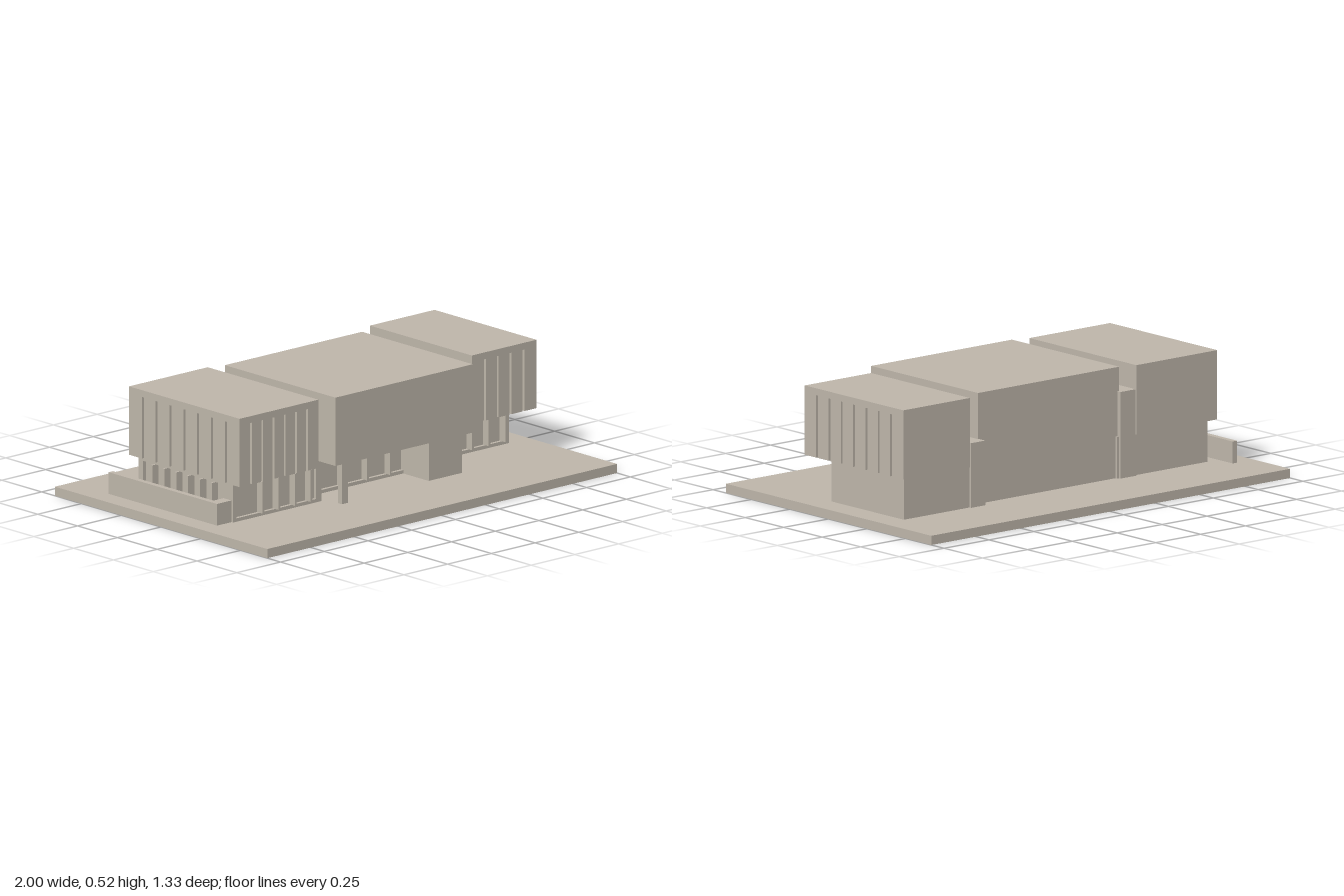
import * as THREE from 'three';

export function createModel() {
  const model = new THREE.Group();
  model.name = 'building';
  const stone = new THREE.MeshStandardMaterial({ color: 0xbeb6aa });
  stone.name = 'stone';
  const FLOOR = 0.04, SOFFIT = 0.22, ROOF = 0.52;

  const add = (name, geometry, parent = model) => {
    const mesh = new THREE.Mesh(geometry, stone);
    mesh.name = name;
    parent.add(mesh);
    return mesh;
  };

  // Box given by its limits
  const box = (name, x0, x1, y0, y1, z0, z1, parent) => {
    const g = new THREE.BoxGeometry(x1 - x0, y1 - y0, z1 - z0);
    g.translate((x0 + x1) / 2, (y0 + y1) / 2, (z0 + z1) / 2);
    return add(name, g, parent);
  };

  // Upper storey whose faces are cut by narrow upright slits below the roof edge
  const slottedBlock = (name, x0, x1, z0, z1, slits) => {
    const group = new THREE.Group();
    group.name = name;
    model.add(group);
    const corners = [[x0, -z1], [x1, -z1], [x1, -z0], [x0, -z0]];
    const counts = [slits.front || 0, slits.left || 0, 0, slits.right || 0];
    const w = 0.006, depth = 0.012, points = [];
    corners.forEach(([ax, ay], side) => {
      const [bx, by] = corners[(side + 1) % 4];
      const len = Math.hypot(bx - ax, by - ay);
      const ux = (bx - ax) / len, uy = (by - ay) / len;
      const put = (t, d) => points.push(new THREE.Vector2(ax + ux * t - uy * d, ay + uy * t + ux * d));
      put(0, 0);
      for (let i = 1; i <= counts[side]; i++) {
        const t = len * i / (counts[side] + 1);
        put(t - w, 0); put(t - w, depth); put(t + w, depth); put(t + w, 0);
      }
    });
    const capY = ROOF - 0.03;
    const g = new THREE.ExtrudeGeometry(new THREE.Shape(points), { depth: capY - SOFFIT, bevelEnabled: false });
    g.rotateX(-Math.PI / 2).translate(0, SOFFIT, 0);
    add('slottedWalls', g, group);
    box('roofSlab', x0, x1, capY, ROOF, z0, z1, group);
  };

  // Wall facing +z with a recessed window band and projecting mullions
  const windowWall = (name, width, w0, w1, mullions, inset = 0.015) => {
    const group = new THREE.Group();
    group.name = name;
    const shape = new THREE.Shape();
    shape.moveTo(0, FLOOR).lineTo(width, FLOOR).lineTo(width, SOFFIT).lineTo(0, SOFFIT).closePath();
    const hole = new THREE.Path();
    hole.moveTo(w0, 0.055).lineTo(w0, 0.195).lineTo(w1, 0.195).lineTo(w1, 0.055).closePath();
    shape.holes.push(hole);
    const g = new THREE.ExtrudeGeometry(shape, { depth: inset, bevelEnabled: false });
    g.translate(0, 0, -inset);
    add('windowSurround', g, group);
    for (const m of mullions) box('mullion', m - 0.005, m + 0.005, 0.055, 0.195, -inset, 0.02, group);
    model.add(group);
    return group;
  };

  // Ground slab
  box('baseSlab', -1, 1, 0, FLOOR, -0.667, 0.667);

  // Upper storeys
  slottedBlock('rightUpperBlock', -0.865, -0.415, -0.35, 0.345, { front: 6, right: 7 });
  box('centreUpperBlock', -0.34, 0.445, SOFFIT, ROOF, -0.325, 0.37);
  slottedBlock('leftUpperBlock', 0.535, 0.905, -0.375, 0.265, { front: 4, left: 7 });

  // Links between the blocks
  box('rightLink', -0.42, -0.33, FLOOR, 0.415, -0.345, 0.2);
  box('leftLink', 0.44, 0.52, FLOOR, 0.32, -0.365, 0.145);
  box('leftLinkPorch', 0.42, 0.475, FLOOR, SOFFIT, 0, 0.185);

  // Right ground floor, glazed to the front and the side
  box('rightGroundCore', -0.81, -0.32, FLOOR, SOFFIT, -0.335, 0.245);
  windowWall('rightFrontWindows', 0.505, 0.02, 0.475, [0.155, 0.245, 0.34, 0.43])
    .position.set(-0.825, 0, 0.26);
  const side = windowWall('rightSideWindows', 0.595, 0.03, 0.555, [0.105, 0.18, 0.255, 0.33, 0.405, 0.48]);
  side.rotation.y = -Math.PI / 2;
  side.position.set(-0.825, 0, -0.335);

  // Centre ground floor with entrance volume and post
  box('centreGroundCore', -0.34, 0.445, FLOOR, SOFFIT, -0.325, 0.155);
  windowWall('centreWindows', 0.57, 0.07, 0.55, [0.19, 0.33, 0.46]).position.set(-0.32, 0, 0.17);
  box('entranceVolume', 0.23, 0.42, FLOOR, SOFFIT, 0.1, 0.33);
  box('post', -0.29, -0.255, FLOOR, SOFFIT, 0.33, 0.355);

  // Left ground floor
  box('leftGroundCore', 0.52, 0.885, FLOOR, SOFFIT, -0.355, 0.1);
  windowWall('leftWindows', 0.365, 0.025, 0.345, [0.05, 0.14, 0.235, 0.33]).position.set(0.52, 0, 0.115);

  // Low garden wall with a return to the building
  box('gardenWall', -0.908, -0.883, FLOOR, 0.135, -0.43, 0.25);
  box('gardenWallReturn', -0.883, -0.825, FLOOR, 0.135, 0.2, 0.25);

  return model;
}
